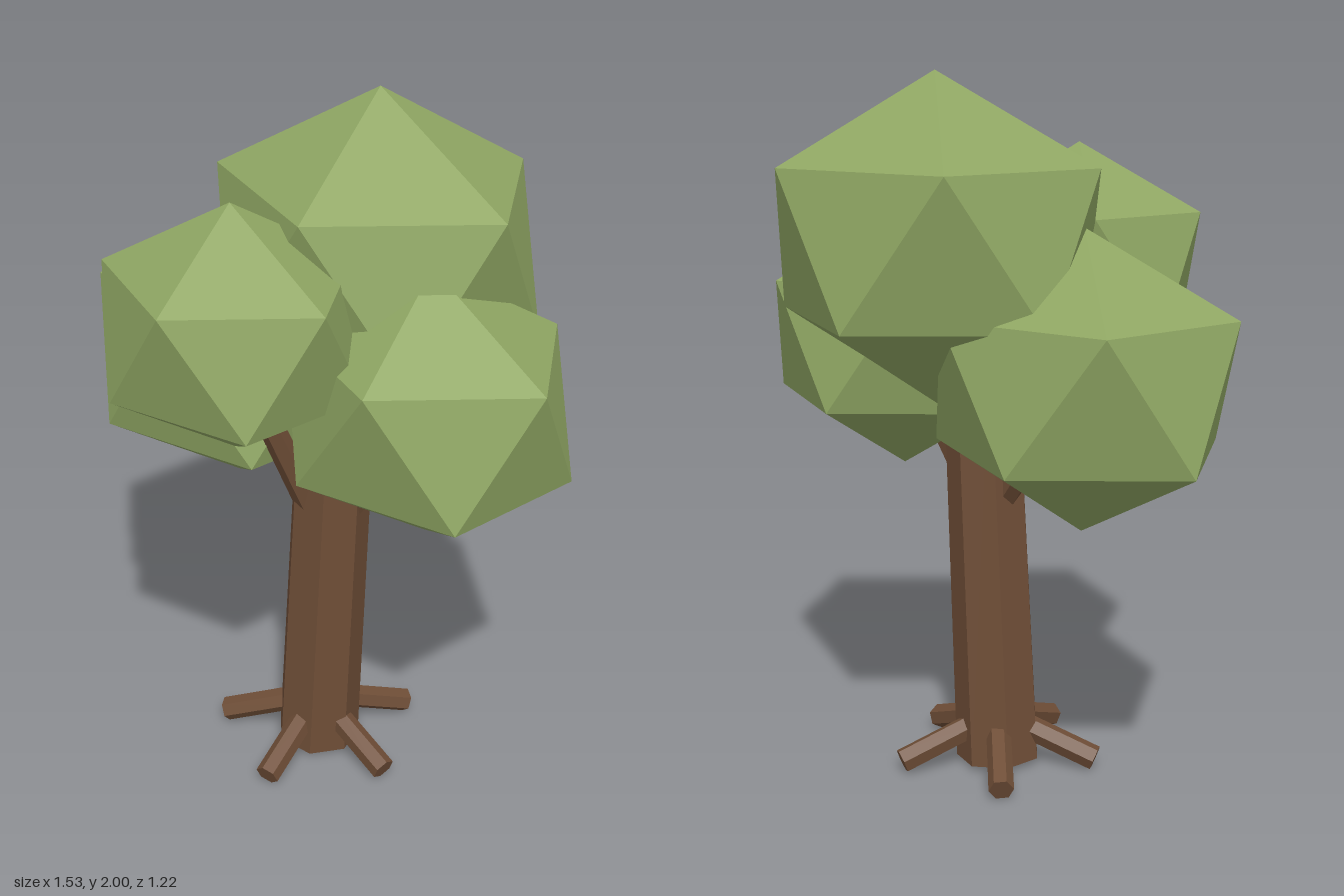
import * as THREE from 'three';

const UP = new THREE.Vector3(0, 1, 0);

// Faceted limb running from one point to another, one corner line facing +x
function limb(name, from, to, r0, r1, sides, material) {
  const a = new THREE.Vector3(...from);
  const dir = new THREE.Vector3(...to).sub(a);
  const length = dir.length();
  const geometry = new THREE.CylinderGeometry(r1, r0, length, sides, 1, false, Math.PI / 2);
  geometry.translate(0, length / 2, 0);
  const mesh = new THREE.Mesh(geometry, material);
  mesh.quaternion.setFromUnitVectors(UP, dir.normalize());
  mesh.position.copy(a);
  mesh.name = name;
  return mesh;
}

// Stretched icosahedron with a corner straight up and an upper corner towards +x
function leafClump(name, centre, radii, material) {
  const geometry = new THREE.IcosahedronGeometry(1, 0);
  geometry.rotateZ(-Math.atan(2 / (1 + Math.sqrt(5))));
  geometry.scale(...radii);
  const mesh = new THREE.Mesh(geometry, material);
  mesh.position.set(...centre);
  mesh.name = name;
  return mesh;
}

export function createModel() {
  const tree = new THREE.Group();
  tree.name = 'tree';

  const bark = new THREE.MeshStandardMaterial({ color: 0x6f4e37, flatShading: true });
  bark.name = 'bark brown';
  const leaves = new THREE.MeshStandardMaterial({ color: 0x8fa663, flatShading: true });
  leaves.name = 'leaf green';

  // Slightly leaning, tapered trunk
  tree.add(limb('trunk', [0.02, 0.018, 0.005], [0.074, 1.25, -0.015], 0.125, 0.11, 7, bark));

  // Five roots spread evenly around the base
  for (let i = 0; i < 5; i++) {
    const angle = (i / 5) * Math.PI * 2;
    const c = Math.cos(angle), s = Math.sin(angle);
    tree.add(limb('root', [0.02 + 0.05 * c, 0.13, 0.05 * s],
      [0.02 + 0.295 * c, 0.038, 0.295 * s], 0.036, 0.036, 6, bark));
  }

  // Branches reaching into the leaf clumps
  const branches = [
    ['rightBranch', [0.03, 0.76, 0], [-0.3, 1.17, 0]],
    ['leftBranch', [0.09, 0.8, -0.02], [0.33, 1.17, -0.08]],
    ['frontBranch', [0.045, 0.84, 0.05], [0.03, 1.33, 0.27]],
    ['backBranch', [0.06, 1.1, -0.03], [0.03, 1.45, -0.18]],
  ];
  for (const [name, from, to] of branches) tree.add(limb(name, from, to, 0.04, 0.032, 6, bark));

  // Leaf clumps
  tree.add(leafClump('topLeaves', [0.02, 1.553, -0.208], [0.526, 0.447, 0.476], leaves));
  tree.add(leafClump('frontLeaves', [0.02, 1.457, 0.295], [0.408, 0.343, 0.37], leaves));
  tree.add(leafClump('rightLeaves', [-0.34, 1.195, 0.005], [0.48, 0.408, 0.433], leaves));
  tree.add(leafClump('leftLeaves', [0.355, 1.243, -0.088], [0.453, 0.385, 0.41], leaves));

  return tree;
}
